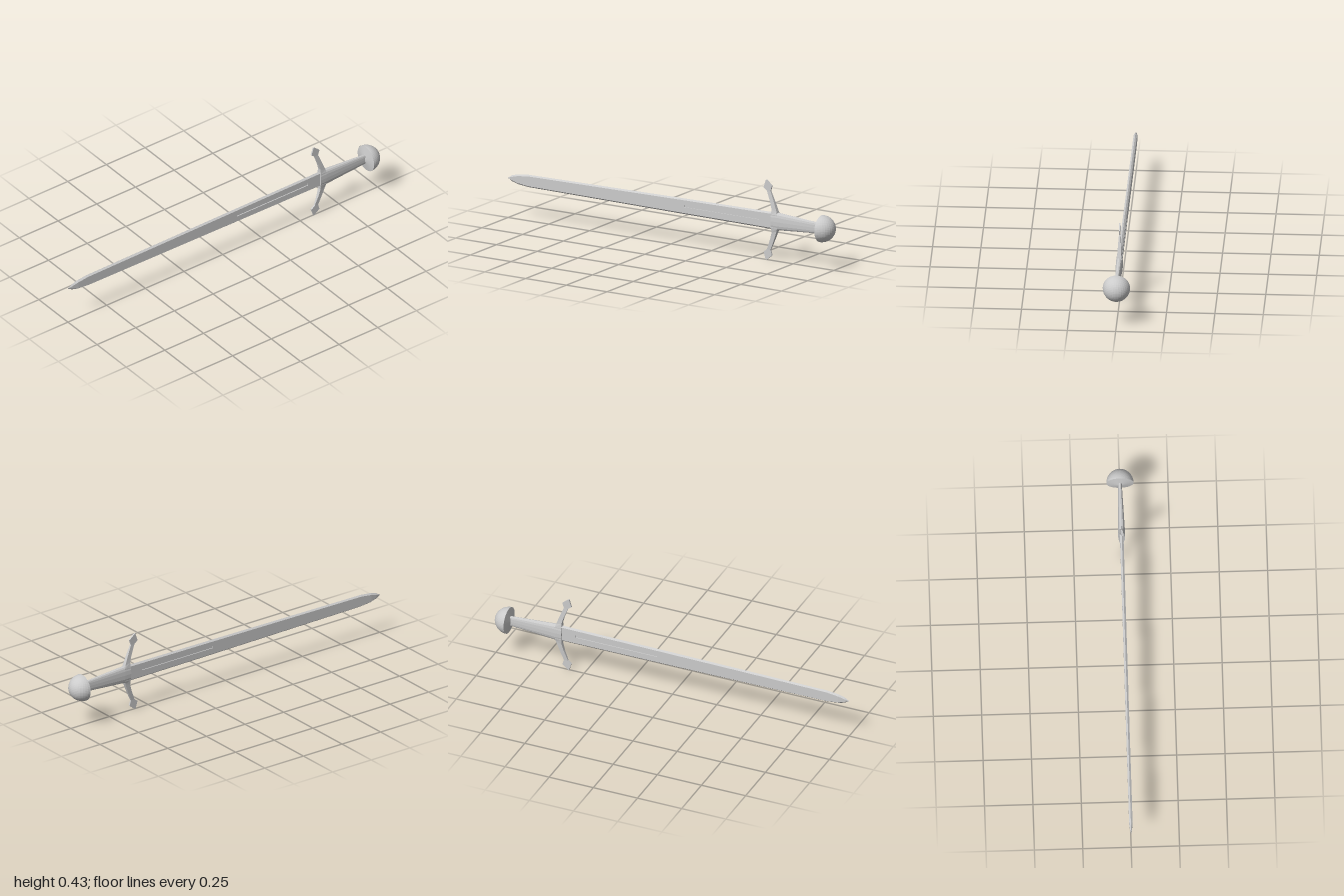
import * as THREE from 'three';

const MID = 0.215; // height of the sword's long axis
const material = new THREE.MeshStandardMaterial({ color: 0xcccccc, flatShading: true, side: THREE.DoubleSide });

// Skins a row of equal-length point rings and closes both ends
function loft(rings) {
  const n = rings[0].length;
  const index = [];
  for (let r = 0; r < rings.length - 1; r++) {
    for (let i = 0; i < n; i++) {
      const j = (i + 1) % n;
      const a = r * n + i, b = r * n + j;
      index.push(a, b, b + n, a, b + n, a + n);
    }
  }
  const last = (rings.length - 1) * n;
  for (let i = 1; i < n - 1; i++) {
    index.push(0, i + 1, i, last, last + i, last + i + 1);
  }
  const geometry = new THREE.BufferGeometry();
  geometry.setAttribute('position', new THREE.Float32BufferAttribute(rings.flat(2), 3));
  geometry.setIndex(index);
  const flat = geometry.toNonIndexed();
  flat.computeVertexNormals();
  return flat;
}

// Blade section: bevelled edges, flat faces and a groove cut to depth z = d
function bladeRing(x, h, f, t, d) {
  const k = f / 0.036;
  const top = 0.011 * k, bottom = -0.003 * k;
  const face = [[f, t], [top, t], [top, d], [bottom, d], [bottom, t], [-f, t]];
  const back = face.map(([y, z]) => [y, -z]).reverse();
  return [[h, 0], ...face, [-h, 0], ...back].map(([y, z]) => [x, y, z]);
}

function createBlade() {
  const t = 0.009, deep = 0.004;
  return loft([
    bladeRing(-1, 0.001, 0.0005, 0.001, 0.001),
    bladeRing(-0.975, 0.016, 0.008, 0.006, 0.006),
    bladeRing(-0.94, 0.026, 0.018, t, t),
    bladeRing(-0.875, 0.033, 0.026, t, t),
    bladeRing(0.085, 0.042, 0.034, t, t),
    bladeRing(0.086, 0.042, 0.034, t, deep),
    bladeRing(0.544, 0.045, 0.037, t, deep),
    bladeRing(0.545, 0.045, 0.037, t, t),
    bladeRing(0.64, 0.046, 0.038, t, t),
  ]);
}

// Grip: rounded oval that narrows towards the pommel
function createGrip() {
  const sections = [[0.622, 0.045, 0.018], [0.658, 0.047, 0.018], [0.78, 0.038, 0.014], [0.925, 0.028, 0.009]];
  const sides = 16;
  return loft(sections.map(([x, h, w]) => Array.from({ length: sides }, (_, i) => {
    const a = (i / sides) * Math.PI * 2;
    const c = Math.cos(a), s = Math.sin(a);
    return [x, h * Math.sign(c) * Math.abs(c) ** 0.75, w * Math.sign(s) * Math.abs(s) ** 0.75];
  })));
}

// Guard: swept arms ending in pointed leaves; [xBlade, yBlade, xGrip, yGrip, halfDepth]
function createGuard() {
  const arm = [
    [0.623, 0.035, 0.66, 0.035, 0.015],
    [0.624, 0.062, 0.655, 0.052, 0.011],
    [0.613, 0.1, 0.637, 0.1, 0.008],
    [0.591, 0.156, 0.613, 0.158, 0.004],
    [0.571, 0.172, 0.622, 0.186, 0.004],
    [0.584, 0.213, 0.589, 0.213, 0.004],
  ];
  const mirrored = arm.map(([xb, yb, xg, yg, d]) => [xb, -yb, xg, -yg, d]).reverse();
  return loft([...mirrored, ...arm].map(([xb, yb, xg, yg, d]) => [
    [xg, yg, d], [xg, yg, -d], [xb, yb, -d], [xb, yb, d],
  ]));
}

export function createModel() {
  const sword = new THREE.Group();
  sword.name = 'sword';
  const add = (name, geometry, parent = sword) => {
    const mesh = new THREE.Mesh(geometry, material);
    mesh.name = name;
    parent.add(mesh);
    return mesh;
  };

  add('blade', createBlade());
  add('guard', createGuard());
  add('grip', createGrip());

  // Pommel: half ball with a shallow cone on the grip side
  const pommel = new THREE.Group();
  pommel.name = 'pommel';
  pommel.position.x = 0.925;
  const dome = add('pommelDome', new THREE.SphereGeometry(0.071, 16, 24, Math.PI / 2, Math.PI), pommel);
  dome.scale.x = 0.075 / 0.071;
  const face = add('pommelFace', new THREE.ConeGeometry(0.071, 0.014, 32, 1, true), pommel);
  face.rotation.z = Math.PI / 2;
  face.position.x = -0.007;
  sword.add(pommel);

  sword.position.y = MID;
  const model = new THREE.Group();
  model.add(sword);
  return model;
}
